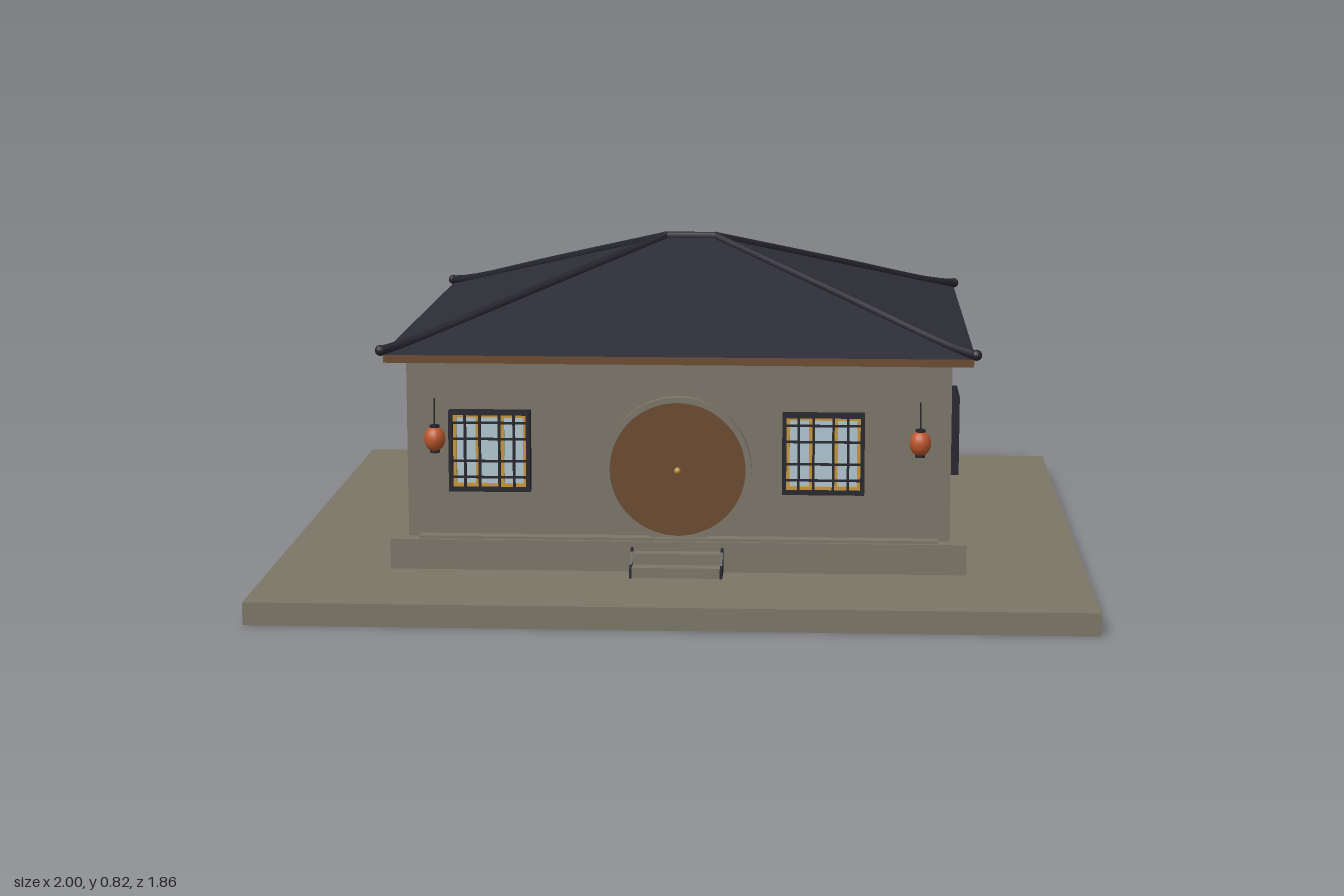
import * as THREE from 'three';

const mat = (name, color, side = THREE.FrontSide) => {
  const m = new THREE.MeshStandardMaterial({ color, side });
  m.name = name;
  return m;
};

export function createModel() {
  const stone = mat('stone', 0x7c7668);
  const tile = mat('roof tile', 0x2d2d37);
  const dark = mat('dark trim', 0x24242c);
  const wood = mat('wood', 0x6b4a2e);
  const glass = mat('glass', 0xb0c6d0);
  const gold = mat('gold', 0xc8963c);
  const red = mat('lantern paper', 0xbc562c);

  const model = new THREE.Group();
  model.name = 'pavilion';

  const add = (parent, name, geo, material, x = 0, y = 0, z = 0) => {
    const m = new THREE.Mesh(geo, material);
    m.name = name;
    m.position.set(x, y, z);
    parent.add(m);
    return m;
  };
  // box given by its min and max on every axis
  const box = (parent, name, material, x0, x1, y0, y1, z0, z1) =>
    add(parent, name, new THREE.BoxGeometry(x1 - x0, y1 - y0, z1 - z0), material,
      (x0 + x1) / 2, (y0 + y1) / 2, (z0 + z1) / 2);

  // ground slab, plinth, walls
  box(model, 'groundSlab', stone, -1, 1, 0, 0.055, -0.932, 0.932);
  box(model, 'plinth', stone, -0.705, 0.705, 0.055, 0.13, -0.705, 0.578);
  box(model, 'floorSlab', stone, -0.635, 0.635, 0.13, 0.137, -0.665, 0.57);
  box(model, 'walls', stone, -0.665, 0.665, 0.13, 0.575, -0.6625, 0.5375);
  box(model, 'eaveBoard', wood, -0.715, 0.715, 0.568, 0.589, -0.71, 0.58);

  // hipped roof: four slopes and an underside
  const zc = -0.07, hx = 0.72, hz = 0.655, ridge = 0.065, eaveY = 0.588, topY = 0.805;
  const A = [-hx, eaveY, zc + hz], B = [hx, eaveY, zc + hz];
  const C = [hx, eaveY, zc - hz], D = [-hx, eaveY, zc - hz];
  const L = [-ridge, topY, zc], R = [ridge, topY, zc];
  const tris = [A, B, R, A, R, L, C, D, L, C, L, R, B, C, R, D, A, L, A, D, C, A, C, B];
  const roofGeo = new THREE.BufferGeometry();
  roofGeo.setAttribute('position', new THREE.Float32BufferAttribute(tris.flat(), 3));
  roofGeo.computeVertexNormals();
  add(model, 'roof', roofGeo, tile);

  // ridge and hip rolls with slightly upturned ends
  const roll = (name, pts) => add(model, name, new THREE.TubeGeometry(
    new THREE.CatmullRomCurve3(pts), 16, 0.012, 8), dark);
  roll('ridgeRoll', [new THREE.Vector3(...L), new THREE.Vector3(...R)]);
  for (const sx of [-1, 1]) {
    add(model, 'ridgeEnd', new THREE.SphereGeometry(0.0125, 10, 8), dark, sx * ridge, topY, zc);
    for (const sz of [-1, 1]) {
      const at = (t, lift) => new THREE.Vector3(sx * (ridge + (hx - ridge) * t),
        topY + (eaveY - topY) * t + lift, zc + sz * hz * t);
      roll('hipRoll', [at(0, 0), at(0.5, 0.002), at(0.9, 0.002), at(1, 0.01)]);
      const tip = at(1, 0.011);
      add(model, 'hipEnd', new THREE.SphereGeometry(0.0135, 10, 8), dark, tip.x, tip.y, tip.z);
    }
  }

  // round door with stone surround and knob
  const disc = (name, r, depth, material) => {
    const m = add(model, name, new THREE.CylinderGeometry(r, r, depth, 48), material,
      0, 0.305, 0.5375 + depth / 2);
    m.rotation.x = Math.PI / 2;
  };
  disc('doorLeaf', 0.167, 0.012, wood);
  const ring = new THREE.Shape().absarc(0, 0, 0.18, 0, Math.PI * 2);
  ring.holes.push(new THREE.Path().absarc(0, 0, 0.166, 0, Math.PI * 2, true));
  add(model, 'doorSurround', new THREE.ExtrudeGeometry(ring,
    { depth: 0.02, bevelEnabled: false, curveSegments: 48 }), stone, 0, 0.305, 0.5375);
  add(model, 'doorKnob', new THREE.SphereGeometry(0.008, 12, 8), gold, 0, 0.305, 0.566);

  // front steps between dark side boards
  box(model, 'lowerStep', stone, -0.107, 0.107, 0.055, 0.08, 0.575, 0.645);
  box(model, 'upperStep', stone, -0.107, 0.107, 0.08, 0.107, 0.575, 0.61);
  const board = new THREE.Shape([[0.575, 0.055], [0.65, 0.055], [0.65, 0.075], [0.625, 0.083],
    [0.6, 0.11], [0.575, 0.117]].map(p => new THREE.Vector2(-p[0], p[1])));
  const boardGeo = new THREE.ExtrudeGeometry(board, { depth: 0.006, bevelEnabled: false });
  boardGeo.rotateY(Math.PI / 2);
  for (const x of [-0.113, 0.107]) add(model, 'stepSideBoard', boardGeo, dark, x, 0, 0);

  // lattice window facing +z, origin on the wall surface
  const addWindow = (w, x, z, turn) => {
    const g = new THREE.Group();
    g.name = 'window';
    const a = w / 2, h = 0.1, f = 0.01;
    box(g, 'glass', glass, -a + f, a - f, -h + f, h - f, 0, 0.008);
    for (const s of [-1, 1]) {
      const e = s * (a - f / 2), v = s * (h - f / 2);
      box(g, 'frameSide', dark, e - f / 2, e + f / 2, -h, h, 0, 0.03);
      box(g, 'frameRail', dark, -a + f, a - f, v - f / 2, v + f / 2, 0, 0.03);
      const ge = s * (a - f - 0.004), gv = s * (h - f - 0.004);
      box(g, 'innerSide', gold, ge - 0.004, ge + 0.004, -h + f, h - f, 0.008, 0.018);
      box(g, 'innerRail', gold, -a + f, a - f, gv - 0.004, gv + 0.004, 0.008, 0.016);
      const m = s * a * 0.3;
      box(g, 'goldMullion', gold, m - 0.005, m + 0.005, -h + f, h - f, 0.008, 0.014);
    }
    for (const t of [-0.6, -0.24, 0.24, 0.6])
      box(g, 'latticeBar', dark, t * a - 0.003, t * a + 0.003, -h + f, h - f, 0.018, 0.027);
    for (const t of [-0.65, -0.25, 0.3, 0.7])
      box(g, 'latticeRail', dark, -a + f, a - f, t * h - 0.0025, t * h + 0.0025, 0.018, 0.025);
    g.position.set(x, 0.348, z);
    g.rotation.y = turn;
    model.add(g);
  };
  addWindow(0.2, -0.46, 0.5375, 0);
  addWindow(0.2, 0.355, 0.5375, 0);
  for (const x of [0.36, -0.28]) addWindow(0.165, x, -0.6625, Math.PI);
  for (const z of [0.22, -0.35])
    for (const s of [-1, 1]) addWindow(0.165, s * 0.665, z, s * Math.PI / 2);

  // hanging lanterns
  for (const s of [-1, 1]) {
    const g = new THREE.Group();
    g.name = 'lantern';
    const body = add(g, 'lanternBody', new THREE.SphereGeometry(0.026, 16, 12), red);
    body.scale.y = 1.2;
    for (const y of [-0.031, 0.031])
      add(g, 'lanternCap', new THREE.CylinderGeometry(0.012, 0.012, 0.006, 12), dark, 0, y, 0);
    add(g, 'lanternCord', new THREE.CylinderGeometry(0.002, 0.002, 0.068, 6), dark, 0, 0.066, 0);
    g.position.set(s * 0.588, 0.386, 0.603);
    model.add(g);
  }
  return model;
}
